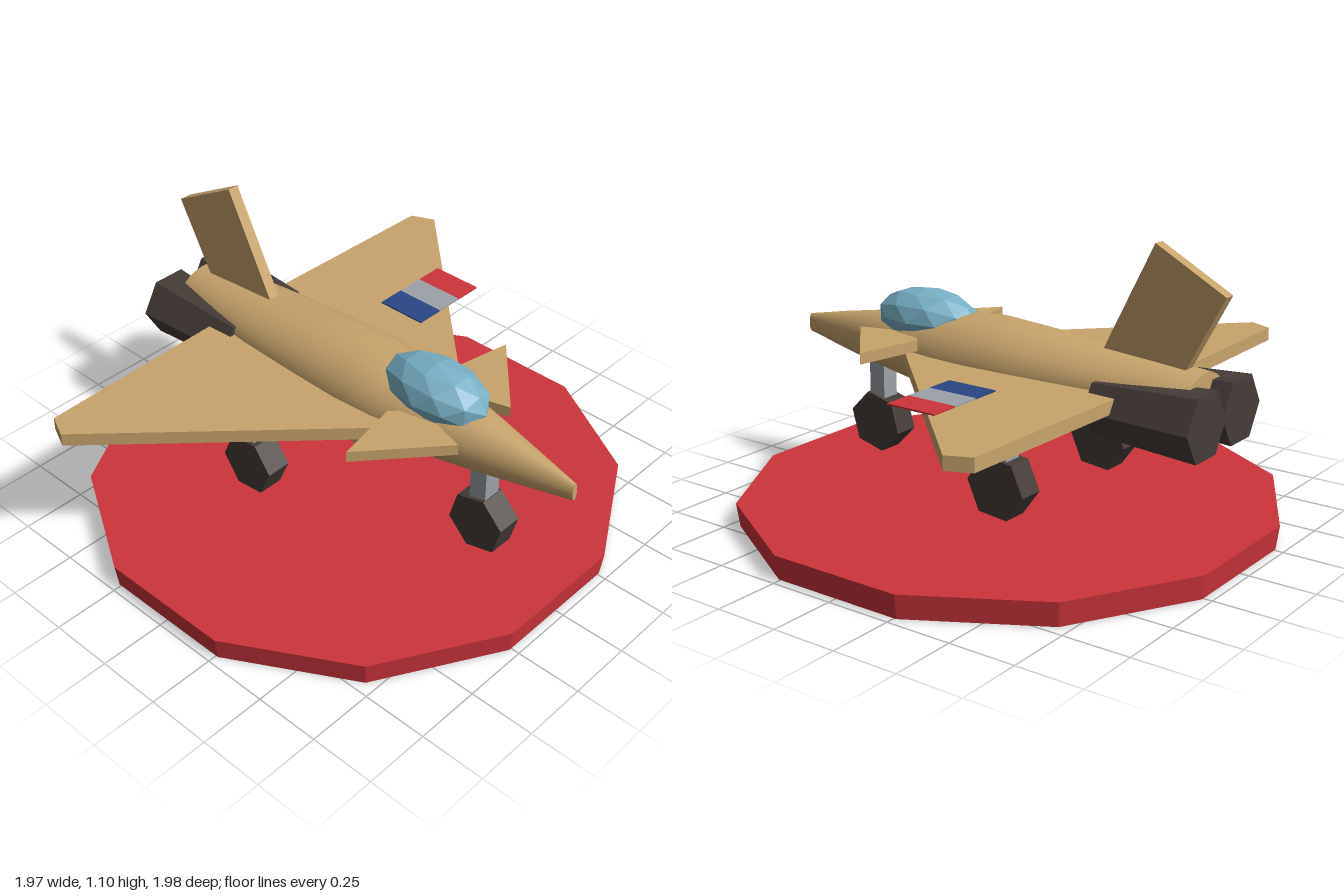
import * as THREE from 'three';

const mat = (name, color, flatShading = false) => {
  const m = new THREE.MeshStandardMaterial({ color, flatShading });
  m.name = name;
  return m;
};

export function createModel() {
  const group = new THREE.Group();
  const tan = mat('tan paint', 0xc8a46c);
  const red = mat('red', 0xcc343b);
  const dark = mat('dark metal', 0x463c38);
  const grey = mat('grey', 0x9ca2a8);
  const blue = mat('blue', 0x2a4684);
  const glass = mat('canopy glass', 0x78b0c6, true);

  const add = (name, geometry, material, x = 0, y = 0, z = 0) => {
    const mesh = new THREE.Mesh(geometry, material);
    mesh.name = name;
    mesh.position.set(x, y, z);
    group.add(mesh);
    return mesh;
  };
  const box = (name, material, w, h, d, x, y, z) =>
    add(name, new THREE.BoxGeometry(w, h, d), material, x, y, z);
  const extrude = (points, depth) => new THREE.ExtrudeGeometry(
    new THREE.Shape(points.map(p => new THREE.Vector2(...p))), { depth, bevelEnabled: false });
  // Horizontal plate from [x, z] corners
  const plate = (name, points, y, thickness) =>
    add(name, extrude(points.map(([x, z]) => [x, -z]), thickness).rotateX(-Math.PI / 2), tan, 0, y, 0);
  // Faceted prism with sharp edges
  const prism = (r1, r2, h, sides, turn) =>
    new THREE.CylinderGeometry(r1, r2, h, sides, 1, false, turn).toNonIndexed();
  const faceted = g => { g.computeVertexNormals(); return g; };

  // Twelve-sided display base
  add('base', faceted(prism(1.012, 1.0, 0.09, 12, Math.PI / 12)), red, 0, 0.045, 0);

  // Fuselage stations: z, bottom, top, half width
  const stations = [
    [1.0, 0.54, 0.612, 0.012], [0.82, 0.503, 0.648, 0.055], [0.62, 0.468, 0.682, 0.102],
    [0.42, 0.44, 0.708, 0.148], [0.25, 0.422, 0.725, 0.178], [0.08, 0.412, 0.742, 0.19],
    [-0.15, 0.424, 0.726, 0.184], [-0.4, 0.448, 0.708, 0.172], [-0.6, 0.472, 0.694, 0.15],
    [-0.8, 0.5, 0.678, 0.125],
  ];
  const n = stations.length - 1;
  const hull = new THREE.CylinderGeometry(1, 1, 1, 28, n).rotateX(Math.PI / 2);
  const pos = hull.attributes.position;
  for (let i = 0; i < pos.count; i++) {
    const [z, low, high, w] = stations[Math.round((0.5 - pos.getZ(i)) * n)];
    pos.setXYZ(i, pos.getX(i) * w - 0.01, (low + high) / 2 + pos.getY(i) * (high - low) / 2, z);
  }
  hull.computeVertexNormals();
  add('fuselage', hull, tan);

  // Faceted canopy
  const canopy = new THREE.IcosahedronGeometry(1, 1).scale(0.132, 0.113, 0.222);
  add('canopy', canopy, glass, -0.01, 0.69, 0.395);

  // Tail fin
  const fin = extrude([[0.4, 0.69], [0.45, 0.6], [0.7, 0.6], [0.73, 0.67], [0.88, 0.952], [0.605, 1.1]], 0.044);
  add('tailFin', fin.rotateY(Math.PI / 2), tan, -0.032, 0, 0);

  for (const [side, s] of [['left', 1], ['right', -1]]) {
    const tip = s > 0 ? 0.97 : 0.99;
    plate(side + 'Wing', [[0, 0.45], [s * 0.14, 0.39], [s * 0.22, 0.31], [s * tip, -0.46],
      [s * (tip - 0.04), -0.55], [s * 0.2, -0.568], [0, -0.568]], 0.545, 0.05);
    const shift = -0.012;
    plate(side + 'Canard', [[s * 0.425 + shift, 0.365], [s * 0.165 + shift, 0.315],
      [s * 0.08 + shift, 0.4], [s * 0.14 + shift, 0.615]], 0.605, 0.042);

    // Engine intake with a dark mouth
    box(side + 'Intake', tan, 0.1, 0.1, 0.3, s * 0.19, 0.542, 0.09);
    box(side + 'IntakeMouth', dark, 0.08, 0.045, 0.012, s * 0.19, 0.52, 0.246);

    // Six-sided engine, wider at the nozzle
    const engine = faceted(prism(0.105, 0.13, 0.42, 6, Math.PI / 6)).rotateX(Math.PI / 2);
    add(side + 'Engine', engine, dark, s * 0.118 - 0.005, 0.535, -0.67);
  }

  // Landing gear: name, x, z, wheel rotation
  for (const [name, x, z, turn] of [['nose', -0.008, 0.63, 0.25], ['left', 0.31, -0.195, 0.1],
    ['right', -0.332, -0.195, 0.1]]) {
    box(name + 'Strut', grey, 0.074, 0.22, 0.07, x, 0.38, z - 0.005);
    const wheel = faceted(prism(0.12, 0.12, 0.1, 6, turn)).rotateZ(Math.PI / 2);
    add(name + 'Wheel', wheel, dark, x, 0.243, z);
  }

  // Three-band marking on the left wing
  [['blue', blue], ['grey', grey], ['red', red]].forEach(([name, m], i) =>
    box(name + 'Band', m, 0.11, 0.006, 0.2, 0.415 + i * 0.11, 0.597, -0.1));

  return group;
}
